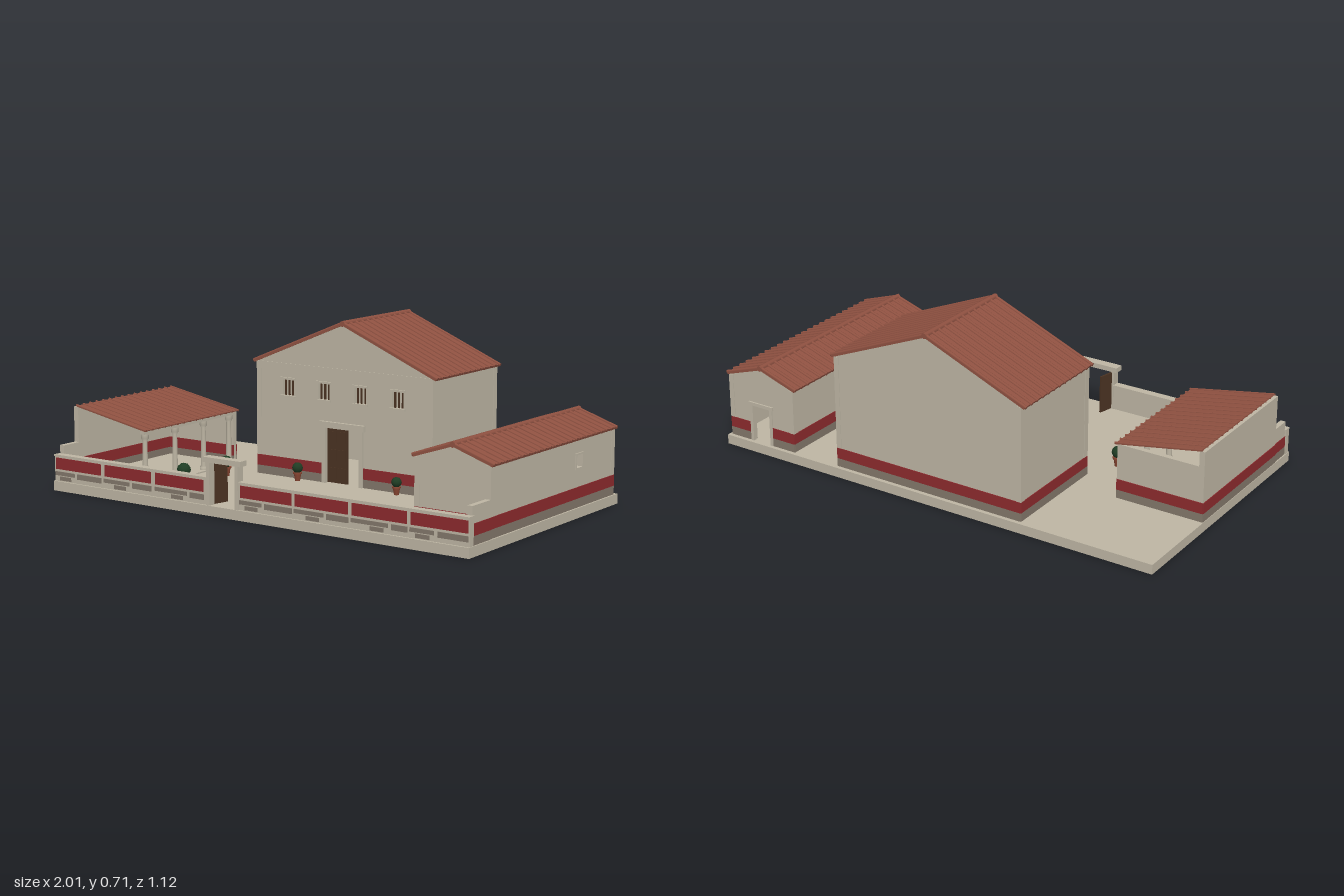
import * as THREE from 'three';

const flat = (name, color) => Object.assign(new THREE.MeshStandardMaterial({ color }), { name });
const plaster = flat('plaster', 0xbdb5a3);
const red = flat('red paint', 0x8c2a2d);
const stone = flat('grey brown stone', 0x82776a);
const tile = flat('roof tile', 0x8f5141);
const wood = flat('dark wood', 0x4a3222);
const clay = flat('terracotta', 0x8a4632);
const leaf = flat('dark green', 0x1f3d24);

function add(parent, name, geo, mat, x = 0, y = 0, z = 0) {
  const m = new THREE.Mesh(geo, mat);
  m.name = name;
  m.position.set(x, y, z);
  parent.add(m);
  return m;
}

// Box given by its limits on each axis
function box(parent, name, mat, x0, x1, y0, y1, z0, z1) {
  return add(parent, name, new THREE.BoxGeometry(x1 - x0, y1 - y0, z1 - z0), mat,
    (x0 + x1) / 2, (y0 + y1) / 2, (z0 + z1) / 2);
}

// Wall slab from an outline, holes are [u0, u1, y0, y1]
function wallGeometry(points, holes, depth) {
  const s = new THREE.Shape(points.map(p => new THREE.Vector2(...p)));
  for (const [a, b, c, d] of holes) {
    s.holes.push(new THREE.Path([[a, c], [a, d], [b, d], [b, c]].map(p => new THREE.Vector2(...p))));
  }
  return new THREE.ExtrudeGeometry(s, { depth, bevelEnabled: false });
}

// Tiled slope from (x0,y0) to (x1,y1), x0 < x1, with rounded cover tiles
function slope(parent, x0, y0, x1, y1, z0, z1, t, r) {
  const g = new THREE.Group();
  g.name = 'roofSlope';
  const len = Math.hypot(x1 - x0, y1 - y0);
  g.position.set((x0 + x1) / 2, (y0 + y1) / 2, 0);
  g.rotation.z = Math.atan2(y1 - y0, x1 - x0);
  box(g, 'roofSlab', tile, -len / 2, len / 2, 0, t, z0, z1);
  const rib = new THREE.CylinderGeometry(r, r, len + 0.008, 8).rotateZ(Math.PI / 2);
  const n = Math.round((z1 - z0 - 2 * r) / 0.04);
  for (let i = 0; i <= n; i++) {
    add(g, 'coverTile', rib, tile, 0, t, z0 + r + (z1 - z0 - 2 * r) * i / n);
  }
  parent.add(g);
}

// Painted plinth and red band along x (front or back); gap = doorway
function bandX(parent, x0, x1, z, gap) {
  const runs = gap ? [[x0, gap[0]], [gap[1], x1]] : [[x0, x1]];
  for (const [a, b] of runs) {
    box(parent, 'plinthBand', stone, a, b, 0.04, 0.075, z - 0.003, z + 0.003);
    box(parent, 'redBand', red, a, b, 0.075, 0.12, z - 0.003, z + 0.003);
  }
}
function bandZ(parent, x, z0, z1) {
  box(parent, 'plinthBand', stone, x - 0.003, x + 0.003, 0.04, 0.075, z0, z1);
  box(parent, 'redBand', red, x - 0.003, x + 0.003, 0.075, 0.12, z0, z1);
}

// Hollow gabled house
function house(name, o) {
  const g = new THREE.Group();
  g.name = name;
  const { x0, x1, z0, z1, eave, peak, over, r } = o, t = 0.02, mid = (x0 + x1) / 2;
  const gable = [[x0, 0.03], [x1, 0.03], [x1, eave], [mid, peak], [x0, eave]];
  const side = [[z0 + t, 0.03], [z1 - t, 0.03], [z1 - t, eave], [z0 + t, eave]];
  add(g, 'frontWall', wallGeometry(gable, o.front || [], t), plaster, 0, 0, z1 - t);
  add(g, 'backWall', wallGeometry(gable, o.back || [], t), plaster, 0, 0, z0);
  add(g, 'rightWall', wallGeometry(side, o.side || [], t).rotateY(-Math.PI / 2), plaster, x1);
  add(g, 'leftWall', wallGeometry(side, [], t).rotateY(-Math.PI / 2), plaster, x0 + t);
  bandX(g, x0, x1, z1, o.frontDoor);
  bandX(g, x0, x1, z0, o.backDoor);
  bandZ(g, x0, z0, z1);
  bandZ(g, x1, z0, z1);
  // Corner pilasters above the bands
  for (const z of [z0, z1]) for (const [a, b] of [[x0 - 0.002, x0 + 0.02], [x1 - 0.02, x1 + 0.002]]) {
    box(g, 'cornerPilaster', plaster, a, b, 0.12, eave, z === z0 ? z - 0.002 : z - 0.025, z === z0 ? z + 0.025 : z + 0.002);
  }
  // Roof
  const drop = over * (peak - eave) / (mid - x0);
  slope(g, x0 - over, eave - drop, mid, peak, z0 - 0.002, z1 + 0.004, 0.009, r);
  slope(g, mid, peak, x1 + over, eave - drop, z0 - 0.002, z1 + 0.004, 0.009, r);
  add(g, 'ridgeTile', new THREE.CylinderGeometry(0.012, 0.012, z1 - z0 + 0.008, 8).rotateX(Math.PI / 2),
    tile, mid, peak + 0.007, (z0 + z1) / 2);
  return g;
}

function mainHouse() {
  const z1 = -0.06, windows = [-0.26, -0.08, 0.1, 0.28];
  const g = house('mainHouse', {
    x0: -0.42, x1: 0.445, z0: -0.54, z1, eave: 0.513, peak: 0.692, over: 0.013, r: 0.007,
    front: [[-0.07, 0.1, 0.04, 0.272], ...windows.map(x => [x - 0.028, x + 0.028, 0.382, 0.448])],
    frontDoor: [-0.085, 0.115],
  });
  box(g, 'cornice', plaster, -0.42, 0.445, 0.508, 0.515, z1 - 0.01, z1 + 0.003);
  // Doorway with one closed leaf and one swung inwards
  box(g, 'doorJamb', plaster, -0.085, -0.068, 0.04, 0.275, z1 - 0.01, z1 + 0.01);
  box(g, 'doorJamb', plaster, 0.098, 0.115, 0.04, 0.275, z1 - 0.01, z1 + 0.01);
  box(g, 'doorLintel', plaster, -0.095, 0.125, 0.27, 0.295, z1 - 0.01, z1 + 0.014);
  box(g, 'doorLeaf', wood, -0.068, 0.03, 0.042, 0.268, z1 - 0.017, z1 - 0.007);
  box(g, 'openDoorLeaf', wood, 0.088, 0.097, 0.042, 0.268, z1 - 0.11, z1 - 0.015);
  for (const y of [0.06, 0.135, 0.21]) for (const x of [-0.058, -0.012]) {
    box(g, 'doorPanel', wood, x, x + 0.035, y, y + 0.045, z1 - 0.01, z1 - 0.004);
  }
  // Barred windows
  for (const x of windows) {
    box(g, 'windowSill', plaster, x - 0.036, x + 0.036, 0.374, 0.382, z1 - 0.01, z1 + 0.007);
    box(g, 'windowHead', plaster, x - 0.036, x + 0.036, 0.448, 0.457, z1 - 0.01, z1 + 0.008);
    for (const d of [-0.018, 0, 0.018]) {
      box(g, 'windowBar', wood, x + d - 0.003, x + d + 0.003, 0.382, 0.448, z1 - 0.012, z1 - 0.006);
    }
  }
  return g;
}

function sideHouse() {
  const g = house('sideHouse', {
    x0: 0.665, x1: 0.99, z0: -0.54, z1: 0.4, eave: 0.308, peak: 0.362, over: 0.008, r: 0.007,
    back: [[0.785, 0.875, 0.04, 0.2]], backDoor: [0.775, 0.885],
    side: [[-0.275, -0.23, 0.197, 0.247]],
  });
  for (const [a, b] of [[0.773, 0.787], [0.873, 0.887]]) box(g, 'backDoorJamb', plaster, a, b, 0.04, 0.2, -0.545, -0.53);
  box(g, 'backDoorLintel', plaster, 0.768, 0.892, 0.198, 0.212, -0.547, -0.53);
  for (const [a, b, c, d] of [[-0.282, -0.223, 0.247, 0.254], [-0.282, -0.223, 0.19, 0.197],
    [-0.282, -0.275, 0.197, 0.247], [-0.23, -0.223, 0.197, 0.247]]) {
    box(g, 'windowFrame', plaster, 0.98, 0.995, c, d, a, b);
  }
  return g;
}

function portico() {
  const g = new THREE.Group();
  g.name = 'portico';
  box(g, 'outerWall', plaster, -0.995, -0.972, 0.03, 0.332, -0.17, 0.435);
  box(g, 'endWall', plaster, -0.972, -0.62, 0.03, 0.268, -0.17, -0.148);
  bandZ(g, -0.995, -0.17, 0.435);
  bandZ(g, -0.972, -0.148, 0.435);
  bandX(g, -0.995, -0.62, -0.17);
  bandX(g, -0.972, -0.62, -0.148);
  box(g, 'step', plaster, -0.972, -0.605, 0.03, 0.045, -0.148, 0.435);
  box(g, 'beam', plaster, -0.642, -0.62, 0.252, 0.266, -0.17, 0.43);
  const profile = [[0.017, 0], [0.017, 0.01], [0.012, 0.016], [0.01, 0.18], [0.016, 0.19], [0.016, 0.207]];
  const column = new THREE.LatheGeometry(profile.map(p => new THREE.Vector2(...p)), 12);
  for (const z of [0.413, 0.226, 0.04, -0.13]) add(g, 'column', column, plaster, -0.631, 0.045, z);
  slope(g, -0.98, 0.333, -0.612, 0.266, -0.173, 0.436, 0.004, 0.005);
  // Bench
  box(g, 'benchSeat', plaster, -0.815, -0.765, 0.073, 0.081, 0.24, 0.35);
  for (const z of [0.25, 0.33]) box(g, 'benchLeg', plaster, -0.808, -0.772, 0.045, 0.073, z, z + 0.012);
  return g;
}

function boundary() {
  const g = new THREE.Group();
  g.name = 'boundaryWall';
  for (const [a, b] of [[-0.998, -0.195], [-0.045, 0.998]]) {
    box(g, 'frontWall', plaster, a, b, 0.03, 0.142, 0.526, 0.552);
    box(g, 'coping', plaster, a, b, 0.142, 0.15, 0.522, 0.556);
  }
  // Red panels over two courses of stone blocks
  [-0.99, -0.725, -0.458, -0.032, 0.228, 0.488, 0.748].forEach((x, i) => {
    box(g, 'redPanel', red, x, x + 0.243, 0.09, 0.137, 0.55, 0.555);
    const s = 0.03 * (i % 3);
    box(g, 'stoneBlock', stone, x - 0.005, x + 0.1 + s, 0.064, 0.08, 0.55, 0.555);
    box(g, 'stoneBlock', stone, x + 0.115 + s, x + 0.245, 0.058, 0.08, 0.55, 0.555);
    box(g, 'stoneBlock', stone, x + 0.02 + s, x + 0.08 + s, 0.044, 0.06, 0.55, 0.555);
  });
  // Side returns
  for (const [a, b, z, face] of [[0.97, 0.992, 0.4, 0.992], [-0.992, -0.97, 0.435, -0.992]]) {
    box(g, 'sideWall', plaster, a, b, 0.03, 0.185, z, 0.526);
    bandZ(g, face, z, 0.526);
  }
  // Gateway with an open leaf
  for (const x of [-0.198, -0.058]) box(g, 'gatePost', plaster, x, x + 0.016, 0.03, 0.212, 0.524, 0.557);
  box(g, 'gateLintel', plaster, -0.212, -0.028, 0.21, 0.231, 0.52, 0.56);
  const door = new THREE.Group();
  door.name = 'gateLeaf';
  door.position.set(-0.184, 0, 0.525);
  door.rotation.y = -0.22;
  box(door, 'gateBoard', wood, -0.004, 0.004, 0.042, 0.205, -0.065, 0);
  g.add(door);
  return g;
}

function pottedPlant(x, z, s) {
  const g = new THREE.Group();
  g.name = 'pottedPlant';
  g.position.set(x, 0.04, z);
  g.scale.setScalar(s);
  add(g, 'pot', new THREE.CylinderGeometry(0.018, 0.012, 0.036, 10), clay, 0, 0.018, 0);
  add(g, 'potRim', new THREE.CylinderGeometry(0.021, 0.021, 0.007, 10), clay, 0, 0.036, 0);
  add(g, 'bush', new THREE.IcosahedronGeometry(0.025, 1), leaf, 0, 0.06, 0);
  return g;
}

export function createModel() {
  const model = new THREE.Group();
  model.name = 'courtyardVilla';
  box(model, 'base', plaster, -1, 1, 0, 0.04, -0.56, 0.56);
  model.add(mainHouse(), sideHouse(), portico(), boundary());
  for (const p of [[-0.485, 0.07, 1], [-0.492, 0.337, 1.15], [-0.187, -0.023, 0.9], [0.296, -0.03, 0.85]]) {
    model.add(pottedPlant(...p));
  }
  return model;
}
